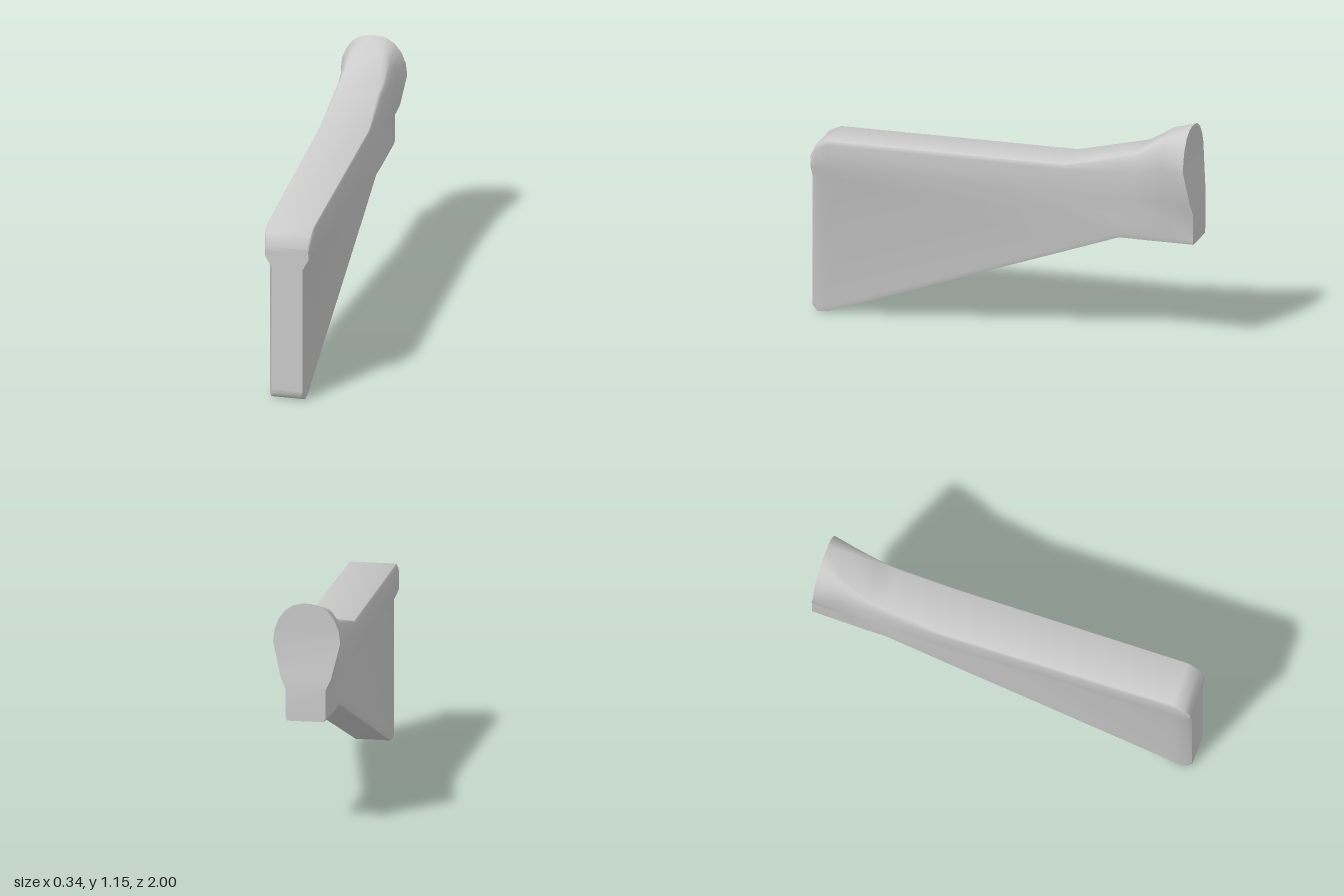
import * as THREE from 'three';
import { toCreasedNormals } from 'three/addons/utils/BufferGeometryUtils.js';

// Stations from the wide front end to the flared rear end:
// z, underside y, waist y, top y, lower half width, upper half width, crown half width, shoulder drop
const STATIONS = [
  [1, .03, .72, .835, .08, .11, .1, .035],
  [.97, .003, .72, .895, .095, .121, .112, .03],
  [.91, .01, .72, .922, .095, .124, .116, .025],
  [-.33, .455, .65, .922, .104, .13, .122, .025],
  [-.61, .556, .63, .995, .105, .13, .105, .09],
  [-.71, .556, .66, 1.02, .106, .131, .1, .11],
  [-.85, .556, .69, 1.11, .104, .141, .07, .15],
  [-.97, .556, .72, 1.155, .102, .171, .02, .2],
];
const FLARE_Y = .775;
const SHOULDER_STEPS = 5;
const REAR = STATIONS.length - 1;

// The rear face is upright at the bottom and leans forward higher up.
const rearZ = y => -1 + .03 * THREE.MathUtils.clamp((y - .72) / .23, 0, 1);
// The body drifts slightly sideways toward the front.
const centreX = z => Math.max(0, .0155 * (z + .61));

// Right-hand outline of a section: straight lower side, flare, rounded shoulder.
function halfOutline([, bottom, waist, top, low, high, crown, drop]) {
  const outline = [[low - .007, bottom], [low, bottom + .025], [low, waist], [Math.min(high, .128), FLARE_Y]];
  for (let i = 0; i <= SHOULDER_STEPS; i++) {
    const t = (i / SHOULDER_STEPS) * Math.PI / 2;
    outline.push([crown + (high - crown) * Math.cos(t), top - drop + drop * Math.sin(t)]);
  }
  return outline;
}

function loftGeometry() {
  const levels = 5 + SHOULDER_STEPS, n = levels * 2;
  const pos = [], index = [];
  STATIONS.forEach((station, s) => {
    const z = station[0], half = halfOutline(station);
    const mirrored = half.map(([x, y]) => [-x, y]).reverse();
    for (const [x, y] of [...half, ...mirrored]) {
      pos.push(x + centreX(z), y, s === REAR ? rearZ(y) : z);
    }
  });
  // skin between neighbouring sections
  for (let s = 0; s < REAR; s++) {
    for (let i = 0; i < n; i++) {
      const a = s * n + i, b = s * n + (i + 1) % n, c = a + n, d = b + n;
      index.push(a, c, b, b, c, d);
    }
  }
  // end faces, joined left to right level by level
  const last = REAR * n;
  for (let i = 0; i < levels - 1; i++) {
    const r0 = i, r1 = i + 1, l1 = n - 2 - i, l0 = n - 1 - i;
    index.push(r0, r1, l1, r0, l1, l0);
    index.push(last + r0, last + l1, last + r1, last + r0, last + l0, last + l1);
  }
  const geo = new THREE.BufferGeometry();
  geo.setAttribute('position', new THREE.Float32BufferAttribute(pos, 3));
  geo.setIndex(index);
  return toCreasedNormals(geo, .95);
}

export function createModel() {
  const group = new THREE.Group();
  group.name = 'shoulderStock';
  const body = new THREE.Mesh(loftGeometry(), new THREE.MeshStandardMaterial({ color: 0xcccccc }));
  body.name = 'stockBody';
  group.add(body);
  return group;
}
